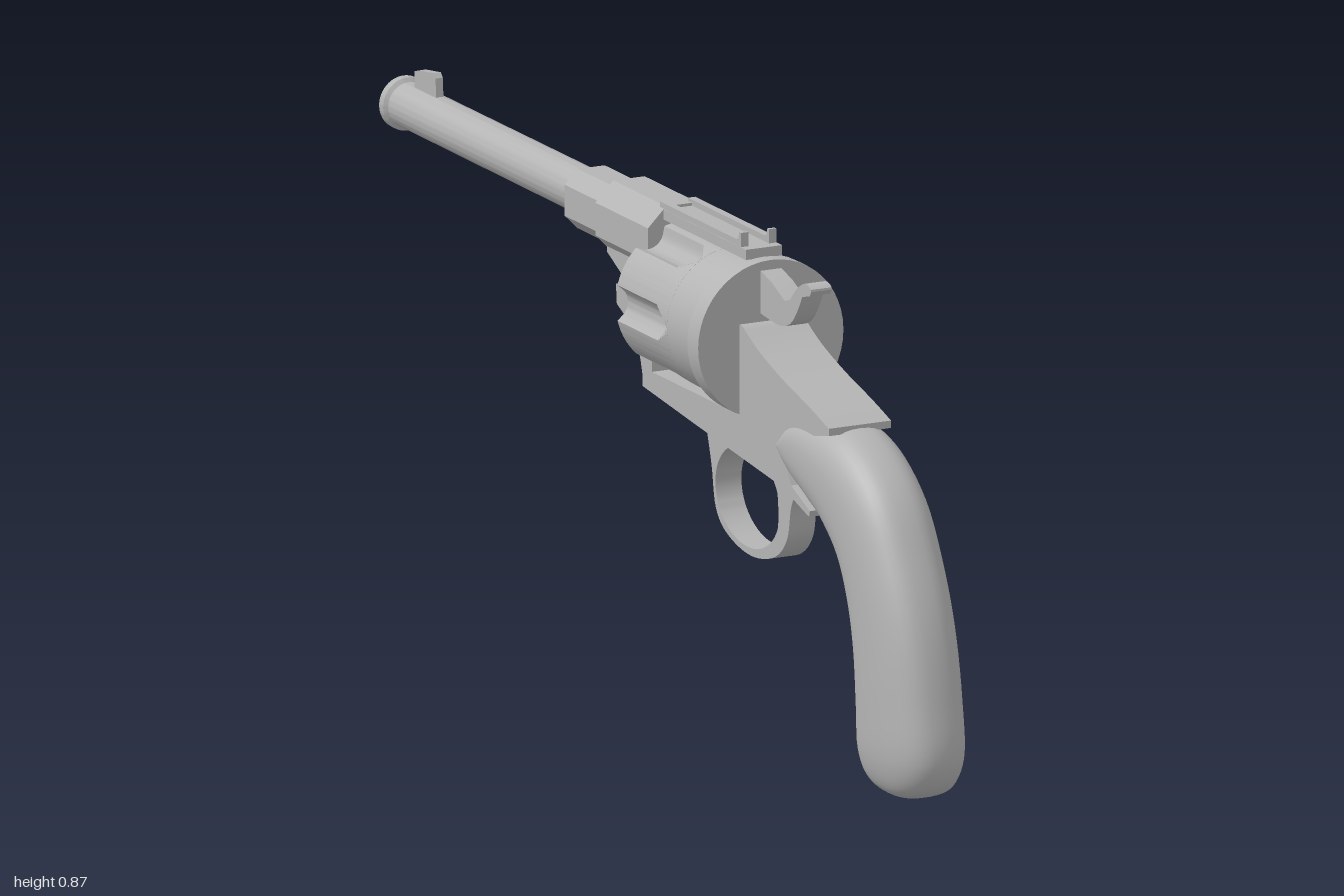
import * as THREE from 'three';
import { toCreasedNormals } from 'three/addons/utils/BufferGeometryUtils.js';

export function createModel() {
  const root = new THREE.Group();
  root.name = 'revolver';
  const steel = new THREE.MeshStandardMaterial({ color: 0xb4b4b4 });
  steel.name = 'grey';

  const add = (name, geo) => {
    const mesh = new THREE.Mesh(geo, steel);
    mesh.name = name;
    root.add(mesh);
    return mesh;
  };
  const toShape = pts => new THREE.Shape(pts.map(p => new THREE.Vector2(p[0], p[1])));
  const smoothLine = (pts, n = 30) => new THREE.SplineCurve(
    pts.map(p => new THREE.Vector2(p[0], p[1]))).getPoints(n).map(p => [p.x, p.y]);

  // Side profile (z, y) extruded to a half width in x
  const plate = (name, shape, half) => {
    const g = new THREE.ExtrudeGeometry(shape, { depth: half * 2, bevelEnabled: false, curveSegments: 32 });
    g.translate(0, 0, -half).rotateY(-Math.PI / 2);
    return add(name, toCreasedNormals(g, 0.5));
  };
  // Cross-section (x, y) extruded from z0 to z1
  const bar = (name, shape, z0, z1) => {
    const g = new THREE.ExtrudeGeometry(shape, { depth: z1 - z0, bevelEnabled: false, curveSegments: 20 });
    g.translate(0, 0, z0);
    return add(name, toCreasedNormals(g, 0.5));
  };
  // Profile of (radius, z) turned around the z direction at height y
  const turned = (name, pts, y) => {
    const g = new THREE.LatheGeometry(pts.map(p => new THREE.Vector2(p[0], p[1])), 48);
    g.rotateX(Math.PI / 2).translate(0, y, 0);
    return add(name, toCreasedNormals(g, 0.6));
  };
  const box = (name, w, h, d, x, y, z) => add(name, new THREE.BoxGeometry(w, h, d).translate(x, y, z));
  const octagon = (w, y0, y1, c) => toShape([
    [-w + c, y0], [w - c, y0], [w, y0 + c], [w, y1 - c], [w - c, y1], [-w + c, y1], [-w, y1 - c], [-w, y0 + c]]);

  // Barrel with open bore and muzzle ring
  turned('barrel', [[0, -0.8], [0.027, -0.8], [0.027, -1], [0.047, -1], [0.047, -0.985],
    [0.04, -0.98], [0.041, -0.3]], 0.787);
  bar('barrelCollar', octagon(0.051, 0.73, 0.835, 0.025), -0.305, -0.16);
  bar('barrelBlock', octagon(0.065, 0.72, 0.848, 0.035), -0.165, 0.03);
  plate('barrelLug', toShape([[0.03, 0.74], [0.03, 0.68], [-0.098, 0.68], [-0.1, 0.695],
    [-0.16, 0.725], [-0.16, 0.74]]), 0.045);

  // Front sight
  plate('frontSight', toShape([[-0.865, 0.82], [-0.945, 0.82], [-0.945, 0.855], [-0.93, 0.86],
    [-0.875, 0.868], [-0.868, 0.86]]), 0.007);

  // Fluted cylinder
  const R = 0.13, axisY = 0.69, fluteHalf = 0.029;
  const fluted = (angle, half) => {
    const step = Math.PI / 3;
    const off = (angle - Math.round(angle / step) * step) * R;
    return Math.abs(off) < half ? R - 0.024 * (half / fluteHalf) * Math.sqrt(1 - (off / half) ** 2) : R;
  };
  const outline = [];
  for (let i = 0; i < 180; i++) {
    const a = i / 180 * Math.PI * 2, r = fluted(a, fluteHalf);
    outline.push([Math.cos(a) * r, axisY + Math.sin(a) * r]);
  }
  const section = toShape(outline);
  for (let i = 0; i < 6; i++) {
    const a = Math.PI / 6 + i * Math.PI / 3;
    section.holes.push(new THREE.Path().absarc(Math.cos(a) * 0.088, axisY + Math.sin(a) * 0.088, 0.027, 0, Math.PI * 2));
  }
  bar('cylinderFront', section, 0.035, 0.18);

  // Pointed flute ends and plain rear of the cylinder
  const rear = new THREE.CylinderGeometry(R, R, 0.045, 180, 6).rotateX(Math.PI / 2).translate(0, 0, 0.2025);
  const pos = rear.attributes.position;
  for (let i = 0; i < pos.count; i++) {
    const x = pos.getX(i), y = pos.getY(i);
    if (Math.hypot(x, y) < 0.01) continue;
    const a = Math.atan2(y, x);
    const t = Math.min(1, Math.max(0, (0.225 - pos.getZ(i)) / 0.045));
    const r = fluted(a, fluteHalf * t);
    pos.setXY(i, Math.cos(a) * r, Math.sin(a) * r);
  }
  add('cylinderFluteEnds', toCreasedNormals(rear.translate(0, axisY, 0), 0.5));
  turned('cylinderRear', [[R, 0.225], [R, 0.313], [0, 0.313]], axisY);
  turned('cylinderPin', [[0, 0.0], [0.03, 0.0], [0.03, 0.33]], axisY);
  turned('recoilPlate', [[0, 0.32], [0.14, 0.32], [0.14, 0.36], [0, 0.36]], 0.687);

  // Top strap with sighting groove and notched rear sight
  box('topStrap', 0.07, 0.018, 0.32, 0, 0.834, 0.175);
  for (const s of [-1, 1]) {
    box('strapRail', 0.014, 0.015, 0.29, s * 0.027, 0.846, 0.16);
    plate('rearSight', toShape([[0.315, 0.83], [0.285, 0.83], [0.285, 0.85], [0.305, 0.856],
      [0.308, 0.868], [0.315, 0.868]]), 0.007).position.x = s * 0.027;
  }

  // Hammer
  plate('hammer', toShape([[0.36, 0.81], [0.4, 0.80], [0.45, 0.778],
    ...smoothLine([[0.47, 0.785], [0.495, 0.81], [0.525, 0.826], [0.547, 0.82], [0.543, 0.808]], 12),
    ...smoothLine([[0.515, 0.8], [0.495, 0.768], [0.47, 0.742], [0.43, 0.73], [0.36, 0.735]], 14)]), 0.02);

  // Frame with upper and lower tangs reaching over the grip
  plate('frame', toShape([
    ...smoothLine([[0.37, 0.72], [0.43, 0.69], [0.52, 0.66], [0.62, 0.634], [0.69, 0.613]], 16),
    [0.69, 0.6], [0.56, 0.57], [0.52, 0.53], [0.55, 0.48], [0.62, 0.451], [0.617, 0.44],
    [0.516, 0.47], [0.195, 0.505], [0, 0.527],
    ...smoothLine([[0, 0.548], [-0.018, 0.596], [-0.055, 0.63], [-0.095, 0.65]], 12),
    [-0.098, 0.685], [0.035, 0.685], [0.035, 0.56], [0.36, 0.56], [0.36, 0.72]]), 0.06);

  // Trigger guard and trigger
  const guard = toShape(smoothLine([[0.52, 0.475], [0.485, 0.425], [0.468, 0.36], [0.42, 0.318],
    [0.335, 0.301], [0.25, 0.318], [0.205, 0.355], [0.188, 0.43], [0.163, 0.51]], 48));
  guard.holes.push(new THREE.Path().absellipse(0.322, 0.402, 0.119, 0.088, 0, Math.PI * 2));
  plate('triggerGuard', guard, 0.025);
  plate('trigger', toShape([
    ...smoothLine([[0.4, 0.5], [0.425, 0.455], [0.432, 0.39], [0.42, 0.345], [0.388, 0.32]], 16),
    ...smoothLine([[0.39, 0.33], [0.408, 0.355], [0.413, 0.39], [0.405, 0.44], [0.36, 0.5]], 16)]), 0.013);

  // Grip: rounded cross-sections between a back line and a front line, columns zb, yb, zf, yf, half width
  const stations = [
    [0.487, 0.54, 0.484, 0.533, 0.058], [0.548, 0.602, 0.521, 0.489, 0.069], [0.644, 0.613, 0.591, 0.452, 0.074],
    [0.741, 0.591, 0.644, 0.425, 0.076], [0.837, 0.527, 0.703, 0.372, 0.076], [0.906, 0.425, 0.735, 0.307, 0.076],
    [0.955, 0.318, 0.751, 0.233, 0.076], [0.987, 0.19, 0.757, 0.136, 0.076], [1, 0.083, 0.757, 0.072, 0.073],
    [0.976, 0.033, 0.773, 0.033, 0.061], [0.933, 0.011, 0.815, 0.011, 0.042], [0.875, 0, 0.873, 0, 0.001]];
  const backLine = new THREE.CatmullRomCurve3(stations.map(s => new THREE.Vector3(s[4], s[1], s[0])));
  const frontLine = new THREE.CatmullRomCurve3(stations.map(s => new THREE.Vector3(s[4], s[3], s[2])));
  const rows = 55, cols = 40, verts = [], faces = [];
  const soft = v => Math.sign(v) * Math.abs(v) ** 0.82;
  for (let i = 0; i <= rows; i++) {
    const b = backLine.getPoint(i / rows), f = frontLine.getPoint(i / rows);
    for (let j = 0; j < cols; j++) {
      const a = j / cols * Math.PI * 2, c = soft(Math.cos(a)) / 2;
      verts.push(b.x * soft(Math.sin(a)), (b.y + f.y) / 2 + (b.y - f.y) * c, (b.z + f.z) / 2 + (b.z - f.z) * c);
      if (i === rows) continue;
      const p = i * cols + j, q = i * cols + (j + 1) % cols;
      faces.push(p, p + cols, q, q, p + cols, q + cols);
    }
  }
  const grip = new THREE.BufferGeometry();
  grip.setAttribute('position', new THREE.Float32BufferAttribute(verts, 3));
  grip.setIndex(faces);
  grip.computeVertexNormals();
  add('grip', grip);

  return root;
}
